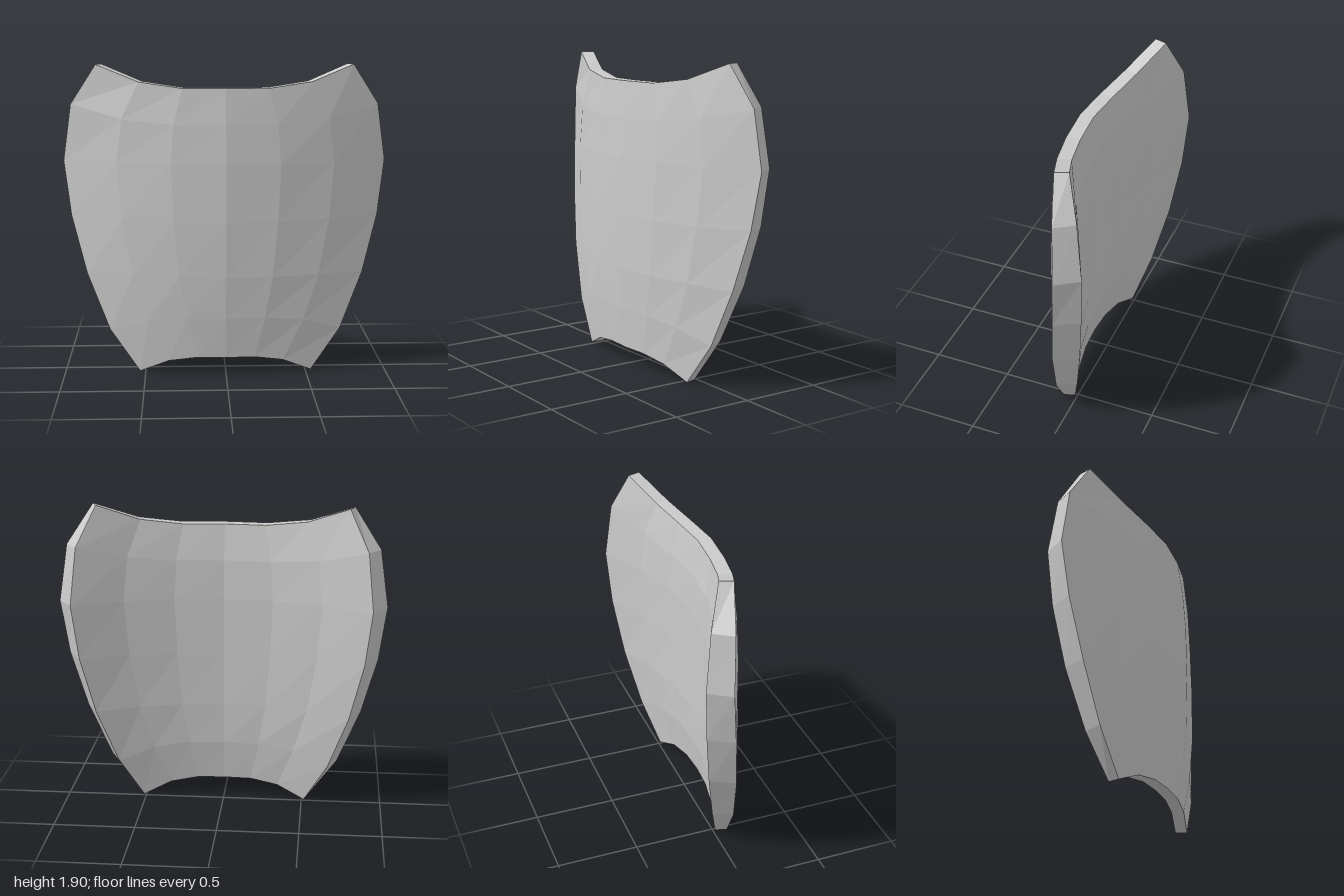
import * as THREE from 'three';

// One entry per row, bottom to top
const edgeY = [0, 0.26, 0.61, 0.97, 1.31, 1.66, 1.905];
const midY = [0.105, 0.36, 0.62, 0.96, 1.31, 1.55, 1.77];
const front = {
  halfWidth: [0.535, 0.72, 0.86, 0.955, 1.0, 0.95, 0.79],
  midZ: [0.17, 0.195, 0.21, 0.215, 0.21, 0.195, 0.172],
  edgeZ: [0.085, 0.05, 0.005, -0.045, -0.08, -0.06, -0.01],
};
const back = {
  halfWidth: [0.515, 0.66, 0.785, 0.87, 0.91, 0.875, 0.76],
  midZ: [0.09, 0.055, 0.045, 0.045, 0.045, 0.055, 0.086],
  edgeZ: [0.015, -0.065, -0.14, -0.19, -0.213, -0.175, -0.088],
};
// Bend from the centre column to the edge column
const zBend = [0, 0.125, 0.45, 1];
const yBend = [0, 0, 0.26, 1];
const ROWS = 7, COLS = 7;

function sheetPoint(sheet, row, col) {
  const k = Math.abs(col - 3);
  return [
    sheet.halfWidth[row] * (col - 3) / 3,
    THREE.MathUtils.lerp(midY[row], edgeY[row], yBend[k]),
    THREE.MathUtils.lerp(sheet.midZ[row], sheet.edgeZ[row], zBend[k]),
  ];
}

function makeMesh(name, quads) {
  const positions = [];
  for (const [a, b, c, d] of quads) positions.push(...a, ...b, ...c, ...a, ...c, ...d);
  const geometry = new THREE.BufferGeometry();
  geometry.setAttribute('position', new THREE.Float32BufferAttribute(positions, 3));
  geometry.computeVertexNormals();
  const material = new THREE.MeshStandardMaterial({ color: 0xcccccc, flatShading: true });
  const mesh = new THREE.Mesh(geometry, material);
  mesh.name = name;
  return mesh;
}

function sheetQuads(sheet, reversed) {
  const quads = [];
  for (let r = 0; r < ROWS - 1; r++) {
    for (let c = 0; c < COLS - 1; c++) {
      const quad = [[r, c], [r, c + 1], [r + 1, c + 1], [r + 1, c]]
        .map(([row, col]) => sheetPoint(sheet, row, col));
      quads.push(reversed ? quad.reverse() : quad);
    }
  }
  return quads;
}

function rimQuads() {
  // Walk the outline anticlockwise as seen from the front
  const outline = [];
  for (let c = 0; c < COLS - 1; c++) outline.push([0, c]);
  for (let r = 0; r < ROWS - 1; r++) outline.push([r, COLS - 1]);
  for (let c = COLS - 1; c > 0; c--) outline.push([ROWS - 1, c]);
  for (let r = ROWS - 1; r > 0; r--) outline.push([r, 0]);
  return outline.map((p, i) => {
    const q = outline[(i + 1) % outline.length];
    return [sheetPoint(front, ...p), sheetPoint(back, ...p),
      sheetPoint(back, ...q), sheetPoint(front, ...q)];
  });
}

export function createModel() {
  const plate = new THREE.Group();
  plate.name = 'curvedPlate';
  plate.add(
    makeMesh('frontFace', sheetQuads(front, false)),
    makeMesh('backFace', sheetQuads(back, true)),
    makeMesh('rim', rimQuads()),
  );
  return plate;
}
